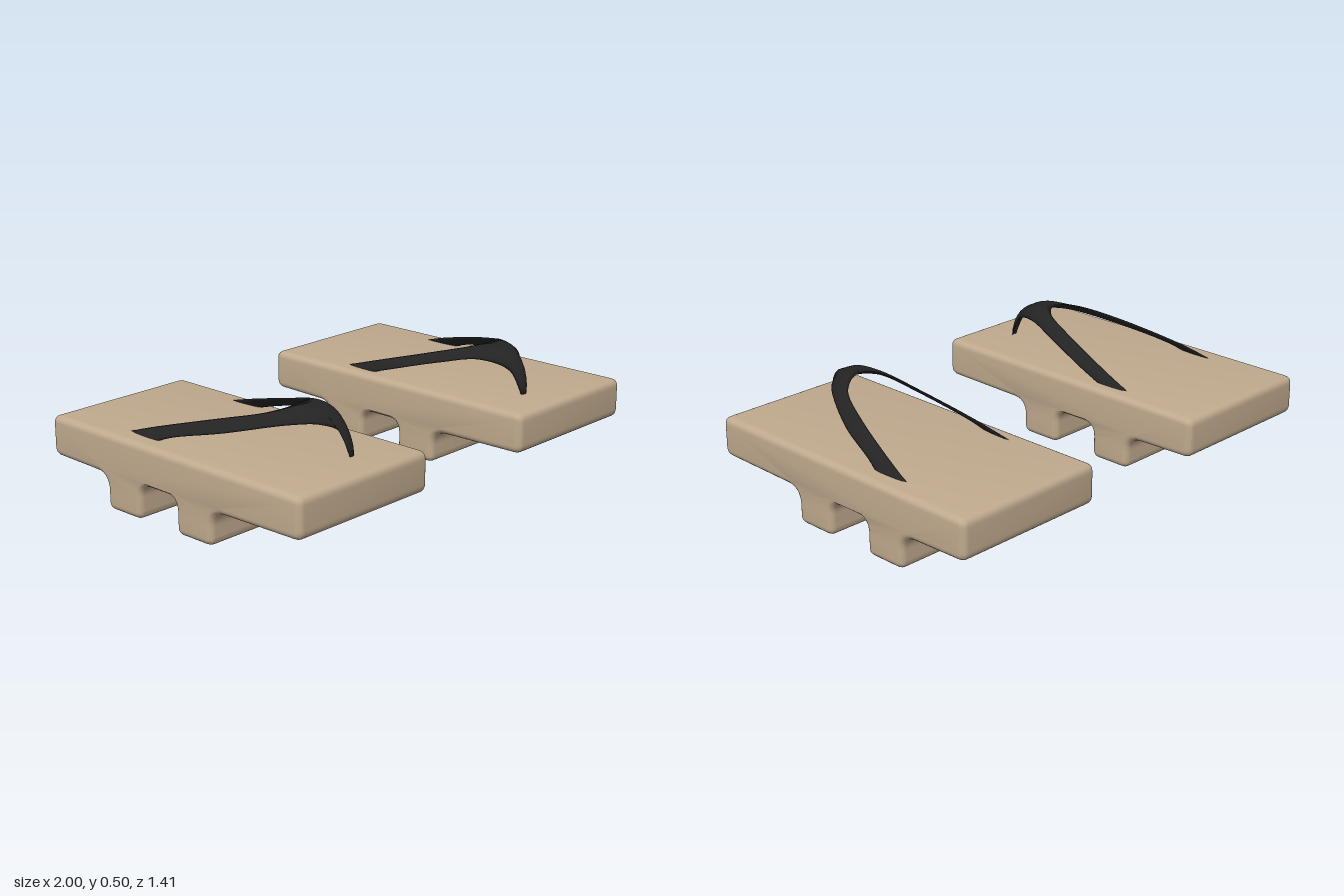
import * as THREE from 'three';
import { toCreasedNormals } from 'three/addons/utils/BufferGeometryUtils.js';

const wood = new THREE.MeshStandardMaterial({ color: 0xc0aa8e });
const cloth = new THREE.MeshStandardMaterial({ color: 0x232323, side: THREE.DoubleSide });

// Side profile (z, y) of the slab with its two teeth: [z, y, corner radius]
const PROFILE = [
  [0.705, 0.325, 0.035], [-0.705, 0.325, 0.035], [-0.705, 0.153, 0.04],
  [-0.37, 0.147, 0.065], [-0.37, 0.003, 0.035], [-0.172, 0.003, 0.035], [-0.172, 0.152, 0.055],
  [0.037, 0.152, 0.055], [0.037, 0.003, 0.035], [0.235, 0.003, 0.035], [0.235, 0.147, 0.065],
  [0.705, 0.153, 0.04],
];

// Polygon with every corner replaced by a smooth curve
function roundedShape(corners) {
  const shape = new THREE.Shape();
  const pts = corners.map(([x, y]) => new THREE.Vector2(x, y));
  const n = pts.length;
  const toward = (a, b, r) => b.clone().sub(a).setLength(r).add(a);
  for (let i = 0; i < n; i++) {
    const p = pts[i], r = corners[i][2];
    const a = toward(p, pts[(i + n - 1) % n], r), b = toward(p, pts[(i + 1) % n], r);
    if (i === 0) shape.moveTo(a.x, a.y); else shape.lineTo(a.x, a.y);
    shape.quadraticCurveTo(p.x, p.y, b.x, b.y);
  }
  shape.closePath();
  return shape;
}

function soleGeometry() {
  const width = 0.71, bevel = 0.028;
  const geo = new THREE.ExtrudeGeometry(roundedShape(PROFILE), {
    depth: width - 2 * bevel, curveSegments: 8, bevelEnabled: true,
    bevelThickness: bevel, bevelSize: bevel, bevelOffset: -bevel, bevelSegments: 5,
  });
  geo.translate(0, 0, bevel - width / 2);
  geo.rotateY(-Math.PI / 2);
  return toCreasedNormals(geo, 0.6);
}

// Strap stations from the inner heel end, over the toe post, to the outer heel end:
// [upper edge x, y, z,  lower edge x, y, z,  forward bulge]
const STRAP = [
  [0.355, 0.315, -0.34, 0.346, 0.315, -0.18, 0],
  [0.385, 0.366, -0.17, 0.360, 0.352, -0.06, 0],
  [0.450, 0.443, 0.10, 0.410, 0.418, 0.17, 0],
  [0.500, 0.489, 0.26, 0.463, 0.455, 0.35, 0.015],
  [0.535, 0.501, 0.30, 0.510, 0.420, 0.475, 0.055],
  [0.570, 0.505, 0.315, 0.527, 0.315, 0.535, 0.1],
  [0.590, 0.505, 0.315, 0.547, 0.315, 0.537, 0.1],
  [0.630, 0.500, 0.308, 0.564, 0.420, 0.495, 0.055],
  [0.670, 0.490, 0.285, 0.620, 0.450, 0.445, 0.02],
  [0.720, 0.474, 0.235, 0.700, 0.450, 0.365, 0.008],
  [0.800, 0.431, 0.06, 0.830, 0.395, 0.13, 0],
  [0.890, 0.355, -0.22, 0.900, 0.347, -0.08, 0],
  [0.917, 0.315, -0.34, 0.926, 0.315, -0.165, 0],
];

// Thin closed band lofted between the two edges; side mirrors it in x
function strapGeometry(side) {
  const V = (x, y, z) => new THREE.Vector3(x, y, z);
  const spline = (f) => new THREE.CatmullRomCurve3(STRAP.map(f));
  const upper = spline((s) => V(s[0], s[1], s[2]));
  const lower = spline((s) => V(s[3], s[4], s[5]));
  const middle = spline((s) => V((s[0] + s[3]) / 2, (s[1] + s[4]) / 2 + s[6], (s[2] + s[5]) / 2 + s[6]));
  const at = (t, v) => new THREE.QuadraticBezierCurve3(
    upper.getPoint(t), middle.getPoint(t), lower.getPoint(t)).getPoint(v);

  const along = 96, across = 10, ring = across * 2, half = 0.006, e = 0.004;
  const positions = [], index = [];
  for (let i = 0; i <= along; i++) {
    const t = i / along;
    for (let k = 0; k < ring; k++) {
      const outside = k <= across;
      const v = (outside ? k : ring - k) / across;
      const p = at(t, v);
      const du = at(Math.min(1, t + e), v).sub(at(Math.max(0, t - e), v));
      const dv = at(t, Math.min(1, v + 0.02)).sub(at(t, Math.max(0, v - 0.02)));
      const normal = dv.cross(du).normalize();
      const thick = half * Math.sqrt(Math.max(0, Math.sin(Math.PI * v)));
      p.addScaledVector(normal, outside ? thick : -thick);
      positions.push(p.x * side, p.y, p.z);
    }
  }
  for (let i = 0; i < along; i++) {
    for (let k = 0; k < ring; k++) {
      const a = i * ring + k, b = i * ring + (k + 1) % ring;
      const c = a + ring, d = b + ring;
      if (side > 0) index.push(a, b, c, b, d, c);
      else index.push(a, c, b, b, c, d);
    }
  }
  const geo = new THREE.BufferGeometry();
  geo.setAttribute('position', new THREE.Float32BufferAttribute(positions, 3));
  geo.setIndex(index);
  geo.computeVertexNormals();
  return geo;
}

export function createModel() {
  const model = new THREE.Group();
  model.name = 'sandalPair';
  const soleGeo = soleGeometry();
  for (const side of [1, -1]) {
    const sandal = new THREE.Group();
    sandal.name = side > 0 ? 'leftSandal' : 'rightSandal';
    // Wooden slab with two teeth
    const sole = new THREE.Mesh(soleGeo, wood);
    sole.name = 'sole';
    sole.position.x = side * 0.645;
    // V-shaped thong with toe post
    const strap = new THREE.Mesh(strapGeometry(side), cloth);
    strap.name = 'strap';
    sandal.add(sole, strap);
    model.add(sandal);
  }
  return model;
}
